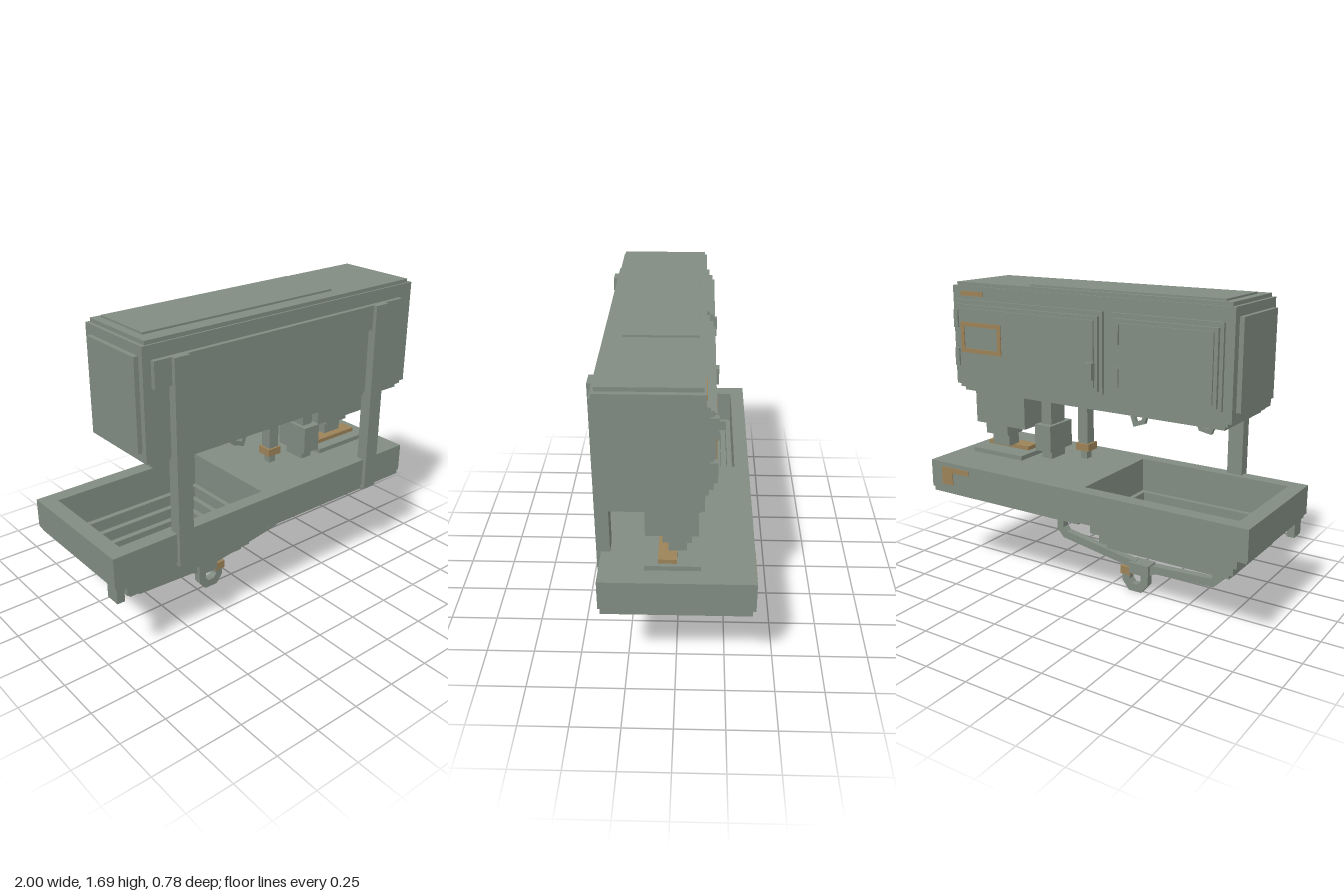
import * as THREE from 'three';

export function createModel() {
  const model = new THREE.Group();
  model.name = 'kitchenUnit';
  const green = new THREE.MeshStandardMaterial({ color: 0x818c82 });
  green.name = 'grey green metal';
  const brass = new THREE.MeshStandardMaterial({ color: 0x9c8258 });
  brass.name = 'dull brass';

  const add = (name, geometry, material = green) => {
    const mesh = new THREE.Mesh(geometry, material);
    mesh.name = name;
    model.add(mesh);
    return mesh;
  };

  // Box given by its limits on each axis
  const box = (name, x0, x1, y0, y1, z0, z1, material) => {
    const g = new THREE.BoxGeometry(x1 - x0, y1 - y0, z1 - z0);
    g.translate((x0 + x1) / 2, (y0 + y1) / 2, (z0 + z1) / 2);
    return add(name, g, material);
  };

  const corners = ([x0, x1, z0, z1]) => [
    new THREE.Vector2(x0, -z1), new THREE.Vector2(x1, -z1),
    new THREE.Vector2(x1, -z0), new THREE.Vector2(x0, -z0),
  ];

  // Horizontal slab with a rectangular opening; rectangles are [x0, x1, z0, z1]
  const ring = (name, outer, hole, y0, y1) => {
    const shape = new THREE.Shape(corners(outer));
    shape.holes.push(new THREE.Path(corners(hole).reverse()));
    const g = new THREE.ExtrudeGeometry(shape, { depth: y1 - y0, bevelEnabled: false });
    g.rotateX(-Math.PI / 2).translate(0, y0, 0);
    return add(name, g);
  };

  // Square bar with mitred bends, following points in an upright plane
  const bar = (name, points, width, z) => {
    const p = points.map(([x, y]) => new THREE.Vector2(x, y));
    const left = [], right = [];
    p.forEach((v, i) => {
      const a = v.clone().sub(p[i - 1] ?? v).normalize();
      const b = (p[i + 1] ?? v).clone().sub(v).normalize();
      const t = a.clone().add(b).normalize();
      const n = new THREE.Vector2(-t.y, t.x);
      const ref = i ? a : b;
      const off = n.clone().multiplyScalar(width / 2 / Math.max(0.4, t.dot(ref)));
      left.push(v.clone().add(off));
      right.unshift(v.clone().sub(off));
    });
    const g = new THREE.ExtrudeGeometry(new THREE.Shape([...left, ...right]),
      { depth: width, bevelEnabled: false });
    g.translate(0, 0, z - width / 2);
    return add(name, g);
  };

  // Wall cabinet with stepped top and bottom
  box('cabinet', -0.775, 1, 1.09, 1.66, -0.135, 0.34);
  box('cabinetTop', -0.755, 0.975, 1.66, 1.68, -0.125, 0.33);
  box('topPlate', -0.71, 0.47, 1.68, 1.69, -0.1, 0.25);
  box('cabinetLowerStep', -0.75, 0.98, 1.07, 1.09, -0.125, 0.33);
  box('cabinetBase', -0.73, 0.955, 1.05, 1.07, -0.115, 0.32);
  box('sidePanel', -0.8, -0.775, 1.14, 1.61, -0.09, 0.31);

  // Cabinet doors: frame and two raised panels each, with hinges
  for (const [name, x0, x1, hingeX] of [['wideDoor', -0.035, 0.965, 0.94], ['narrowDoor', -0.725, -0.085, -0.14]]) {
    box(name + 'Frame', x0, x1, 1.15, 1.585, -0.152, -0.13);
    box(name + 'Panel', x0 + 0.02, x1 - 0.02, 1.165, 1.56, -0.17, -0.15);
    box(name + 'Inset', x0 + 0.04, x1 - 0.04, 1.185, 1.54, -0.18, -0.17);
    for (const y of [1.21, 1.43]) box(name + 'Hinge', hingeX - 0.015, hingeX + 0.015, y, y + 0.1, -0.19, -0.15);
  }
  box('doorHandle', 0, 0.045, 1.23, 1.32, -0.205, -0.17);

  // Painted marks on the back
  box('cabinetLabel', 0.78, 0.94, 1.605, 1.632, -0.139, -0.134, brass);
  for (const y of [1.29, 1.44]) box('doorMarkBar', 0.62, 0.91, y, y + 0.025, -0.185, -0.179, brass);
  for (const x of [0.62, 0.885]) box('doorMarkSide', x, x + 0.025, 1.315, 1.44, -0.185, -0.179, brass);
  box('counterMark', 0.84, 0.92, 0.55, 0.655, -0.389, -0.384, brass);
  box('counterMarkStrip', 0.72, 0.84, 0.625, 0.655, -0.389, -0.384, brass);

  // Uprights and crossbar on the front
  box('crossbar', -0.73, 0.905, 1.455, 1.59, 0.335, 0.365);
  for (const x of [-0.635, 0.68]) box('upright', x, x + 0.087, 0.5, 1.59, 0.32, 0.387);

  // Counter with sink opening
  const opening = [-0.917, -0.025, -0.305, 0.29];
  ring('counter', [-1, 1, -0.385, 0.365], opening, 0.52, 0.68);
  ring('counterUnderside', [-0.99, -0.005, -0.37, 0.355], opening, 0.5, 0.52);
  box('counterLowerPlate', -0.025, 1, 0.49, 0.52, -0.37, 0.355);
  box('cornerFoot', -0.98, -0.937, 0.41, 0.5, 0.26, 0.345);
  box('smallFoot', 0.705, 0.745, 0.47, 0.49, 0.28, 0.345);

  // Stepped sink: each level has walls and a ledge leading to the next
  const holes = [opening, [-0.89, -0.052, -0.275, 0.26], [-0.858, -0.082, -0.243, 0.243], [-0.826, -0.114, -0.21, 0.213]];
  const levels = [[[-0.94, 0, -0.318, 0.3], 0.48, 0.505], [[-0.9, -0.04, -0.282, 0.268], 0.415, 0.48],
    [[-0.865, -0.074, -0.247, 0.25], 0.355, 0.415], [[-0.832, -0.106, -0.216, 0.22], 0.32, 0.355]];
  levels.forEach(([outer, y0, y1], i) => {
    ring('sinkWall', outer, holes[i], y0 + 0.008, y1);
    if (i < 3) ring('sinkLedge', outer, holes[i + 1], y0, y0 + 0.008);
    else box('sinkFloor', outer[0], outer[1], y0, y0 + 0.008, outer[2], outer[3]);
  });

  // Drain pipes and trap
  box('drainOutlet', -0.545, -0.435, 0.262, 0.32, -0.033, 0.033);
  bar('sinkPipe', [[-0.47, 0.3], [-0.65, 0.256], [-0.68, 0.21], [-0.645, 0.175], [-0.29, 0.16], [-0.23, 0.13]], 0.045, 0);
  box('pipeJoint', -0.262, -0.137, 0.115, 0.18, -0.042, 0.042);
  bar('trap', [[-0.225, 0.12], [-0.225, 0.06], [-0.195, 0.0225], [-0.137, 0.0225], [-0.107, 0.06], [-0.107, 0.1]], 0.045, 0);
  box('trapNut', -0.14, -0.075, 0.095, 0.142, -0.033, 0.033, brass);
  bar('wastePipe', [[-0.16, 0.16], [0.315, 0.24], [0.348, 0.275], [0.348, 0.4]], 0.045, 0);
  box('wasteConnector', 0.317, 0.382, 0.39, 0.455, -0.033, 0.033);
  box('wasteNut', 0.295, 0.405, 0.453, 0.49, -0.055, 0.055, brass);

  // Bent hooks under the cabinet
  bar('hook', [[-0.56, 1.055], [-0.522, 0.95], [-0.465, 0.96], [-0.425, 1.055]], 0.024, 0.155);
  bar('hook', [[-0.365, 1.055], [-0.305, 0.995], [-0.25, 1.01], [-0.222, 1.055]], 0.024, 0.183);
  bar('hook', [[-0.14, 1.055], [-0.11, 0.945], [-0.055, 0.925], [-0.01, 1.055]], 0.024, 0.155);
  bar('hook', [[0.06, 1.055], [0.125, 0.98], [0.18, 0.995], [0.22, 1.055]], 0.024, 0.183);

  // Tap
  box('tapPipe', 0.193, 0.257, 0.79, 1.05, 0.038, 0.102);
  box('tapCollar', 0.18, 0.267, 0.755, 0.797, 0.027, 0.113, brass);
  box('tapNozzle', 0.204, 0.247, 0.705, 0.755, 0.048, 0.092);

  // Supply column
  box('columnPipe', 0.418, 0.487, 0.68, 1.05, 0, 0.13);
  box('columnBox', 0.397, 0.507, 0.73, 0.885, -0.04, 0.17);

  // Press head above its plate
  box('pressHousing', 0.525, 0.882, 0.865, 1.05, -0.11, 0.14);
  box('pressNeck', 0.68, 0.84, 0.795, 0.865, -0.078, 0.06);
  box('pressFoot', 0.69, 0.812, 0.728, 0.795, -0.053, 0.035);
  box('pressPad', 0.585, 0.885, 0.706, 0.729, -0.008, 0.082, brass);
  box('pressPlate', 0.545, 0.905, 0.68, 0.706, -0.122, 0.146);

  return model;
}
